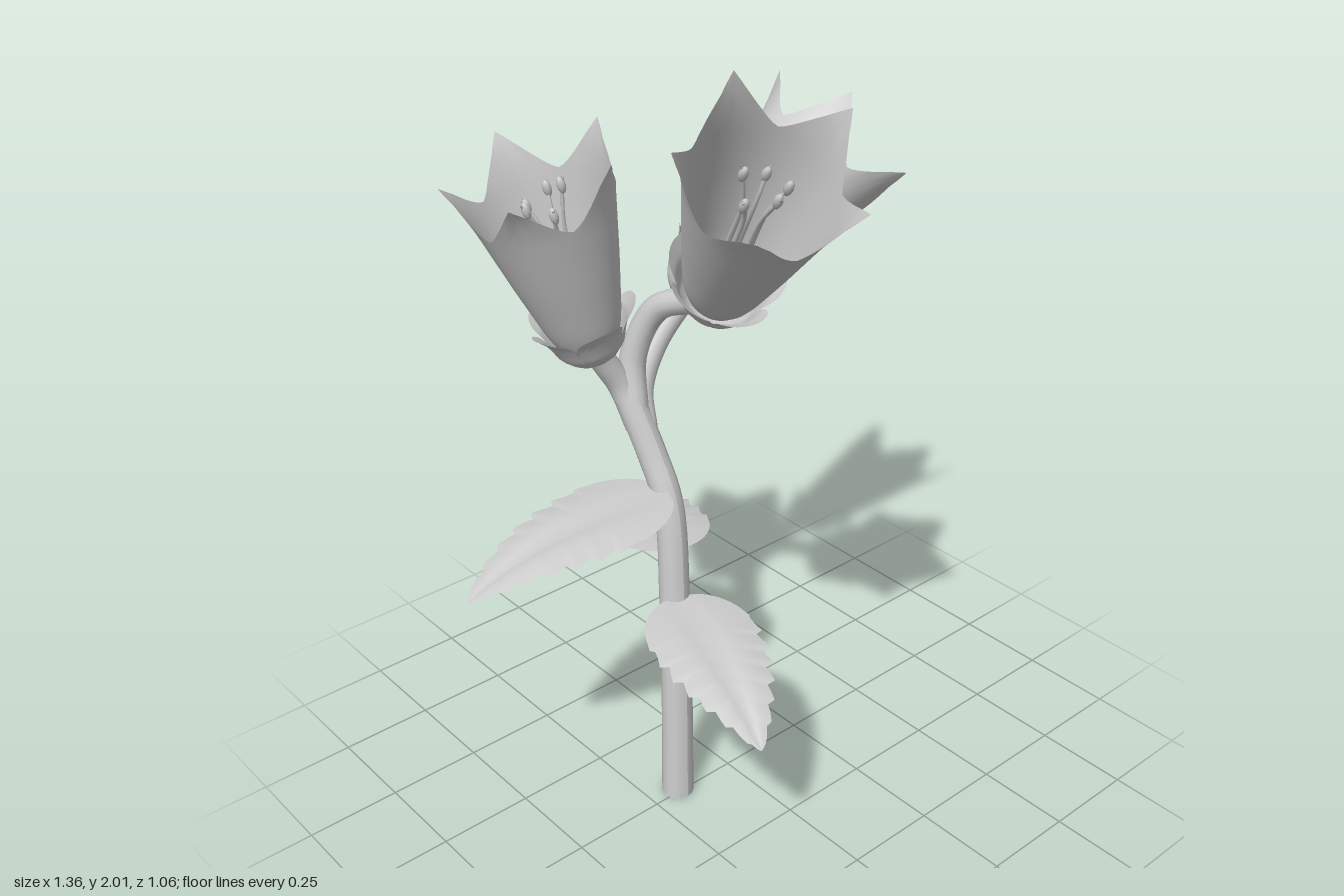
import * as THREE from 'three';

const V = (x, y, z) => new THREE.Vector3(x, y, z);
const material = new THREE.MeshStandardMaterial({ color: 0xcccccc, side: THREE.DoubleSide });

function mesh(name, geometry, parent) {
  const m = new THREE.Mesh(geometry, material);
  m.name = name;
  parent.add(m);
  return m;
}

// Linear lookup in a profile of [height, radius] pairs
function lookup(profile, a) {
  for (let i = 1; i < profile.length; i++) {
    const [a0, r0] = profile[i - 1], [a1, r1] = profile[i];
    if (a <= a1 || i === profile.length - 1) return r0 + (r1 - r0) * (a - a0) / (a1 - a0);
  }
}

// Five-lobed cup: a turned profile whose rim height varies with the angle
function lobedCup(profile, rim, phase, rows = 16, cols = 80) {
  const pos = [], index = [], start = profile[0][0];
  for (let j = 0; j <= rows; j++) {
    for (let i = 0; i < cols; i++) {
      const angle = i / cols * Math.PI * 2;
      const k = Math.abs(((i / cols * 5 + 0.5) % 1) - 0.5) * 2; // 0 at a tip, 1 in a notch
      const a = start + (rim(k) - start) * j / rows;
      const r = lookup(profile, a);
      pos.push(r * Math.cos(angle + phase), a, r * Math.sin(angle + phase));
    }
  }
  for (let j = 0; j < rows; j++) {
    for (let i = 0; i < cols; i++) {
      const p = j * cols + i, q = j * cols + (i + 1) % cols;
      index.push(p, p + cols, q, q, p + cols, q + cols);
    }
  }
  const g = new THREE.BufferGeometry();
  g.setAttribute('position', new THREE.Float32BufferAttribute(pos, 3));
  g.setIndex(index);
  g.computeVertexNormals();
  return g;
}

// Tube along points, thinning towards its end
function taperedTube(points, r0, r1, radial, steps = 28) {
  const curve = new THREE.CatmullRomCurve3(points);
  const g = new THREE.TubeGeometry(curve, steps, r0, radial);
  const p = g.attributes.position, v = V(0, 0, 0);
  for (let i = 0; i < p.count; i++) {
    const t = Math.floor(i / (radial + 1)) / steps;
    const c = curve.getPointAt(t);
    v.fromBufferAttribute(p, i).sub(c).multiplyScalar(1 + (r1 / r0 - 1) * t).add(c);
    p.setXYZ(i, v.x, v.y, v.z);
  }
  g.computeVertexNormals();
  return g;
}

const bellProfile = [[0.04, 0.005], [0.05, 0.06], [0.08, 0.082], [0.14, 0.1], [0.3, 0.135], [0.5, 0.175], [0.57, 0.195], [0.62, 0.222]];
const calyxProfile = [[0, 0.005], [0.005, 0.035], [0.025, 0.065], [0.055, 0.088], [0.09, 0.1], [0.12, 0.112], [0.165, 0.145]];

// Bell flower growing along axis, with one petal tip turned towards tipDir
function flower(name, origin, axis, tipDir, width, height) {
  const g = new THREE.Group();
  g.name = name;
  mesh('petals', lobedCup(bellProfile, k => 0.49 + 0.125 * Math.pow(1 - k, 1.4), 0), g);
  mesh('calyx', lobedCup(calyxProfile, k => 0.1 + 0.06 * Math.sqrt(1 - k * k), Math.PI / 5), g);
  for (let i = 0; i < 5; i++) {
    const angle = (i + 0.5) / 5 * Math.PI * 2, c = Math.cos(angle), s = Math.sin(angle);
    const end = 0.5 + 0.025 * (i % 3);
    const pts = [[0.01, 0.06], [0.025, 0.25], [0.03, 0.42], [0.06, end]].map(([r, a]) => V(r * c, a, r * s));
    mesh('stamen', taperedTube(pts, 0.009, 0.004, 6, 14), g);
    const anther = mesh('anther', new THREE.SphereGeometry(0.011, 8, 6), g);
    anther.scale.set(1, 2.2, 1);
    anther.position.set(0.052 * c, end - 0.02, 0.052 * s);
  }
  const y = axis.clone().normalize();
  const x = tipDir.clone().addScaledVector(y, -tipDir.dot(y)).normalize();
  g.quaternion.setFromRotationMatrix(new THREE.Matrix4().makeBasis(x, y, x.clone().cross(y)));
  g.scale.set(width, height, width);
  g.position.copy(origin);
  return g;
}

// Drooping toothed leaf from base to tip
function leaf(name, base, tip, halfWidth) {
  const rows = 72, cols = 8, teeth = 9;
  const geo = new THREE.PlaneGeometry(1, 1, cols, rows);
  const p = geo.attributes.position;
  const len = Math.hypot(tip.x - base.x, tip.z - base.z), drop = base.y - tip.y;
  for (let i = 0; i < p.count; i++) {
    const u = 0.5 - p.getY(i), v = p.getX(i) * 2;
    const saw = (u * teeth + (v > 0 ? 0.4 : 0)) % 1;
    const bite = 1 - (0.1 + 0.18 * u) * (1 - saw) * THREE.MathUtils.smoothstep(u, 0.15, 0.4);
    const w = halfWidth * Math.pow(Math.max(0, Math.sin(Math.PI * Math.pow(u, 0.62))), 0.75) * bite;
    const sag = drop * (0.38 * u + 0.62 * Math.pow(u, 3.5));
    const fold = 0.012 * Math.sin(Math.min(1, Math.abs(v) * 2) * Math.PI / 2) - 0.02 * v * v;
    // side edges sweep slightly towards the tip
    p.setXYZ(i, u * len + 0.03 * Math.abs(v) * Math.sin(Math.PI * u), -sag + fold * Math.sin(Math.PI * u), w * v);
  }
  geo.computeVertexNormals();
  const m = mesh(name, geo, new THREE.Group());
  m.position.copy(base);
  m.rotation.y = -Math.atan2(tip.z - base.z, tip.x - base.x);
  return m;
}

export function createModel() {
  const model = new THREE.Group();
  model.name = 'bellFlowerPlant';

  // Main stem with a closed foot
  mesh('stem', taperedTube([V(-0.17, 0, -0.01), V(-0.16, 0.3, -0.018), V(-0.148, 0.6, -0.035), V(-0.138, 0.86, -0.065),
    V(-0.145, 0.98, -0.115), V(-0.165, 1.12, -0.175)], 0.042, 0.036, 14, 40), model);
  const foot = mesh('stemFoot', new THREE.CircleGeometry(0.042, 14), model);
  foot.rotation.x = Math.PI / 2;
  foot.position.set(-0.17, 0.001, -0.01);

  // Branches to the three flowers
  const branches = {
    leftBranch: [V(-0.15, 1.04, -0.14), V(-0.115, 1.12, -0.195), V(-0.05, 1.215, -0.215), V(0.05, 1.32, -0.21)],
    rightBranch: [V(-0.155, 1.05, -0.15), V(-0.175, 1.15, -0.19), V(-0.215, 1.22, -0.2), V(-0.245, 1.27, -0.2)],
    frontBranch: [V(-0.16, 1.08, -0.16), V(-0.14, 1.22, -0.185), V(-0.105, 1.35, -0.135), V(-0.08, 1.395, -0.04), V(-0.077, 1.42, 0.045)],
  };
  for (const [name, pts] of Object.entries(branches)) mesh(name, taperedTube(pts, 0.035, 0.031, 12), model);

  // Flowers
  model.add(
    flower('leftFlower', V(0.03, 1.31, -0.21), V(0.87, 0.5, 0), V(0.5, -0.87, 0), 1, 1),
    flower('rightFlower', V(-0.24, 1.235, -0.2), V(-0.27, 0.96, -0.02), V(-0.17, 0, -0.1), 0.95, 0.88),
    flower('frontFlower', V(-0.074, 1.4, 0.03), V(-0.21, 0.79, 0.58), V(0.03, 0.13, -0.16), 0.98, 0.98),
  );

  // Leaves
  model.add(
    leaf('rightLeaf', V(-0.15, 0.905, -0.06), V(-0.685, 0.77, -0.14), 0.155),
    leaf('backLeaf', V(-0.14, 0.735, -0.04), V(0.06, 0.605, -0.52), 0.14),
    leaf('frontLeaf', V(-0.15, 0.61, -0.02), V(-0.29, 0.48, 0.45), 0.145),
  );
  return model;
}
